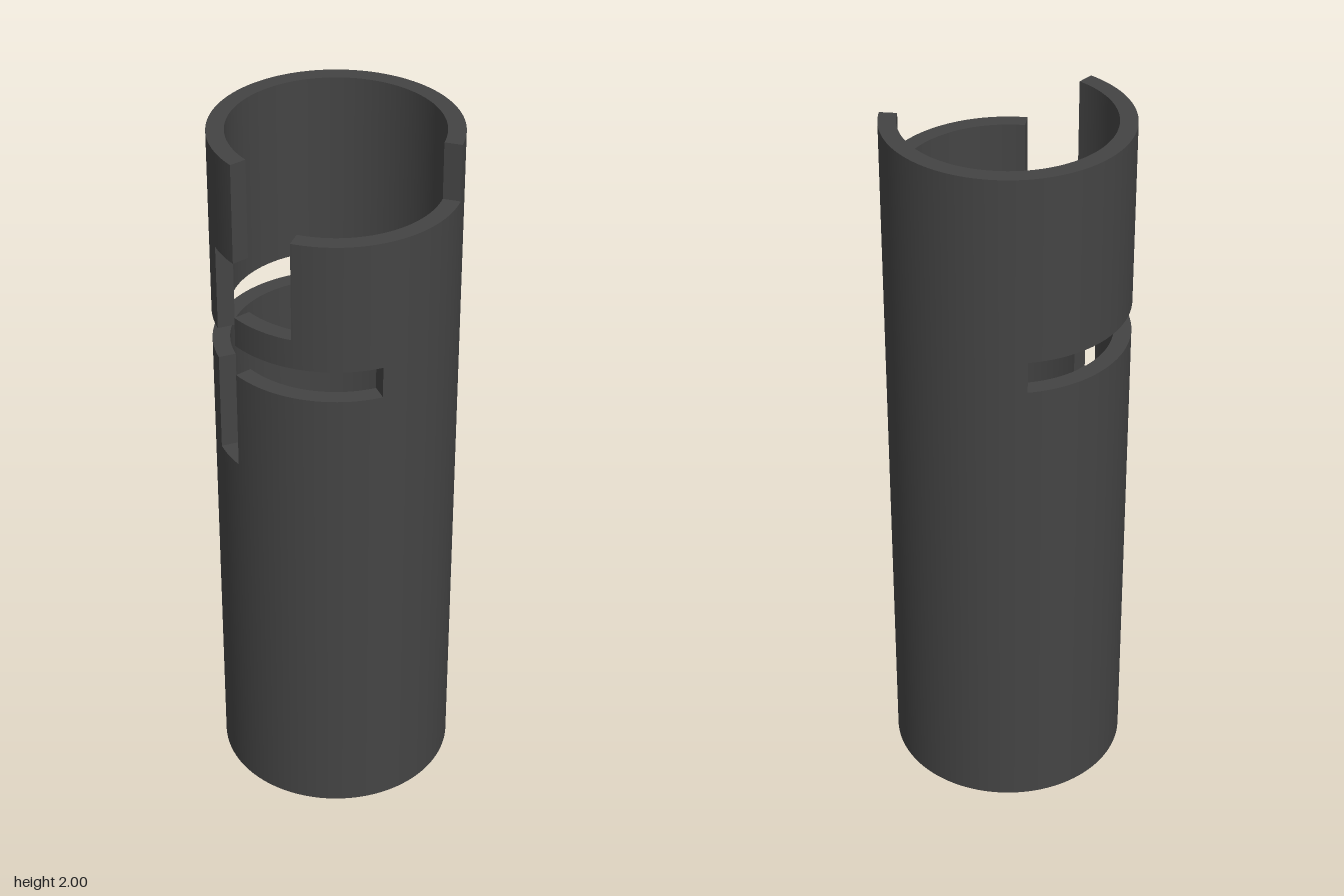
import * as THREE from 'three';

const OUTER = 0.33, INNER = 0.283, FLOOR = 0.05;

// Angles in degrees, 0 at the front, growing toward +x
const ANGLES = [-150, -37.3, -20, 12, 53.5, 105, 210];
const LEVELS = [0, 1.1, 1.385, 1.475, 1.56, 1.72, 1.84, 2];

// Cut-outs in the wall: [angle from, angle to, y from, y to]
const CUTS = [
  [-150, 53.5, 1.385, 1.475], // long horizontal slot
  [-37.3, -20, 1.1, 1.72],    // vertical slot
  [-20, 12, 1.56, 2],         // entry notch
  [12, 105, 1.84, 2],         // lowered rim
  [-20, -20, 1.72, 2],
];

function solid(i, j) {
  const n = ANGLES.length - 1;
  if (j < 0 || j >= LEVELS.length - 1) return false;
  i = (i + n) % n;
  const a = (ANGLES[i] + ANGLES[i + 1]) / 2;
  const y = (LEVELS[j] + LEVELS[j + 1]) / 2;
  return !CUTS.some(([a0, a1, y0, y1]) => a > a0 && a < a1 && y > y0 && y < y1);
}

// Tube wall made of curved cells, with faces only where a cell borders empty space
function wallGeometry() {
  const pos = [], nor = [];
  const dir = a => new THREE.Vector3(Math.sin(a), 0, Math.cos(a));
  const point = (a, r, y) => dir(a).multiplyScalar(r).setY(y);
  const quad = (p, n) => [0, 1, 2, 0, 2, 3].forEach(k => {
    pos.push(...p[k].toArray());
    nor.push(...n[k].toArray());
  });
  const up = new THREE.Vector3(0, 1, 0), down = new THREE.Vector3(0, -1, 0);
  const flat = n => [n, n, n, n];

  for (let i = 0; i < ANGLES.length - 1; i++) {
    const a0 = THREE.MathUtils.degToRad(ANGLES[i]);
    const a1 = THREE.MathUtils.degToRad(ANGLES[i + 1]);
    const steps = Math.ceil((ANGLES[i + 1] - ANGLES[i]) / 3);
    for (let j = 0; j < LEVELS.length - 1; j++) {
      if (!solid(i, j)) continue;
      const y0 = LEVELS[j], y1 = LEVELS[j + 1];
      for (let s = 0; s < steps; s++) {
        const a = a0 + (a1 - a0) * s / steps;
        const b = a0 + (a1 - a0) * (s + 1) / steps;
        const na = dir(a), nb = dir(b), ia = dir(a).negate(), ib = dir(b).negate();
        // outer and inner skins
        quad([point(a, OUTER, y0), point(b, OUTER, y0), point(b, OUTER, y1), point(a, OUTER, y1)], [na, nb, nb, na]);
        quad([point(b, INNER, y0), point(a, INNER, y0), point(a, INNER, y1), point(b, INNER, y1)], [ib, ia, ia, ib]);
        // ledges
        if (!solid(i, j + 1))
          quad([point(a, OUTER, y1), point(b, OUTER, y1), point(b, INNER, y1), point(a, INNER, y1)], flat(up));
        if (j > 0 && !solid(i, j - 1))
          quad([point(a, INNER, y0), point(b, INNER, y0), point(b, OUTER, y0), point(a, OUTER, y0)], flat(down));
      }
      // upright ends of the cut-outs
      if (!solid(i - 1, j))
        quad([point(a0, INNER, y0), point(a0, OUTER, y0), point(a0, OUTER, y1), point(a0, INNER, y1)],
          flat(dir(a0 - Math.PI / 2)));
      if (!solid(i + 1, j))
        quad([point(a1, OUTER, y0), point(a1, INNER, y0), point(a1, INNER, y1), point(a1, OUTER, y1)],
          flat(dir(a1 + Math.PI / 2)));
    }
  }
  const g = new THREE.BufferGeometry();
  g.setAttribute('position', new THREE.Float32BufferAttribute(pos, 3));
  g.setAttribute('normal', new THREE.Float32BufferAttribute(nor, 3));
  return g;
}

export function createModel() {
  const group = new THREE.Group();
  group.name = 'slottedTube';
  const charcoal = new THREE.MeshStandardMaterial({ color: 0x444444 });
  charcoal.name = 'charcoal';

  const add = (name, geometry) => {
    const mesh = new THREE.Mesh(geometry, charcoal);
    mesh.name = name;
    group.add(mesh);
  };

  add('tubeWall', wallGeometry());
  // closed bottom: underside and inner floor
  add('baseUnderside', new THREE.CircleGeometry(OUTER, 120).rotateX(Math.PI / 2));
  add('innerFloor', new THREE.CircleGeometry(INNER, 120).rotateX(-Math.PI / 2).translate(0, FLOOR, 0));
  return group;
}
